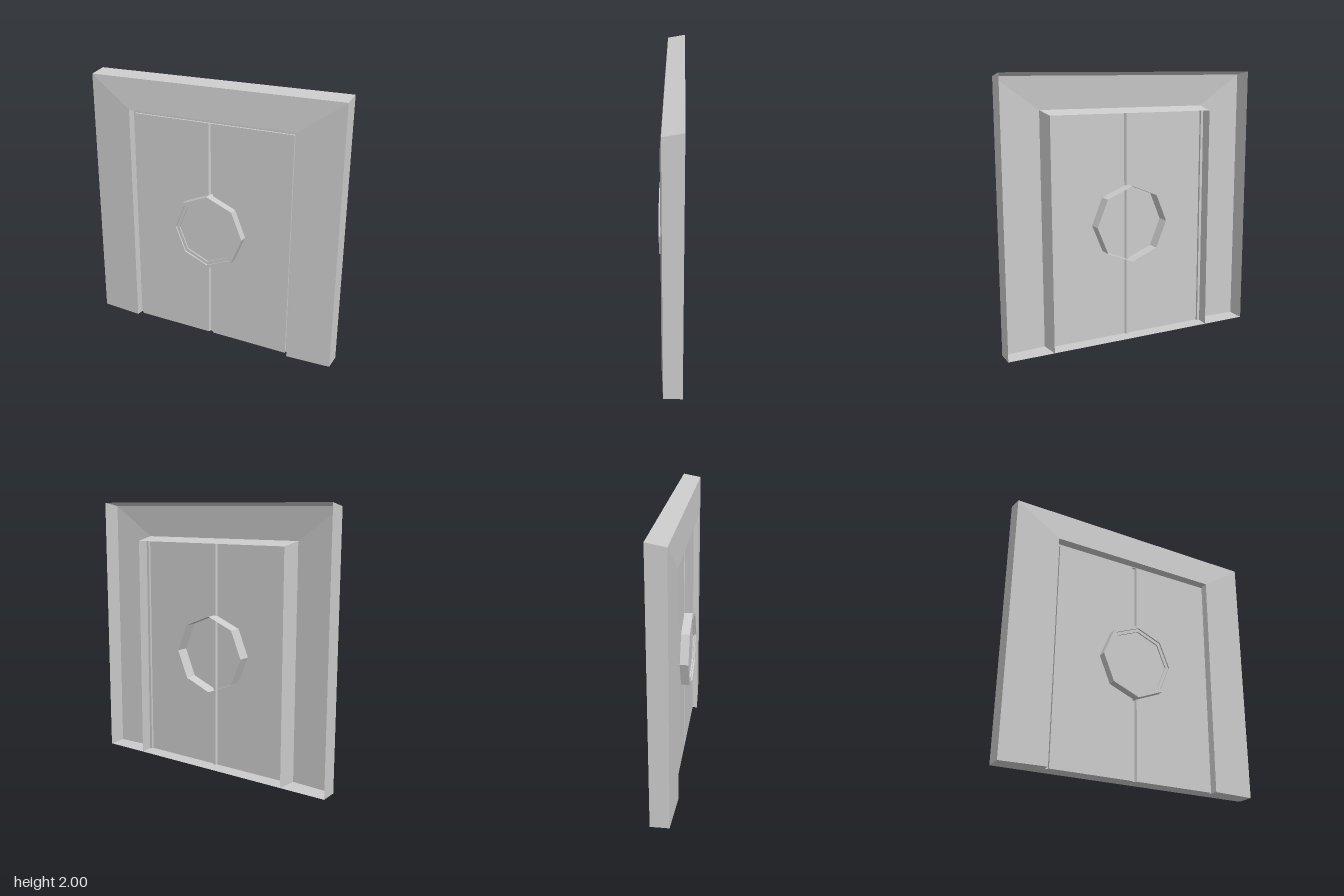
import * as THREE from 'three';

const material = new THREE.MeshStandardMaterial({
  color: 0xcccccc, flatShading: true, side: THREE.DoubleSide,
});

// Joins successive polylines of equal length with flat quads.
function loft(lines) {
  const pos = [];
  for (let k = 0; k < lines.length - 1; k++) {
    for (let i = 0; i < lines[k].length - 1; i++) {
      const a = lines[k][i], b = lines[k][i + 1];
      const c = lines[k + 1][i + 1], d = lines[k + 1][i];
      pos.push(...a, ...d, ...c, ...a, ...c, ...b);
    }
  }
  const geo = new THREE.BufferGeometry();
  geo.setAttribute('position', new THREE.Float32BufferAttribute(pos, 3));
  geo.computeVertexNormals();
  return geo;
}

// Doorway outline: up the left, across the top, down the right.
const arch = ([x, y, z]) => [[-x, 0, z], [-x, y, z], [x, y, z], [x, 0, z]];

// Clockwise octagon with a corner at the top.
const octagon = ([r, z], cy) => Array.from({ length: 9 }, (_, i) => {
  const t = (i * Math.PI) / 4;
  return [r * Math.sin(t), cy + r * Math.cos(t), z];
});

export function createModel() {
  const group = new THREE.Group();
  const add = (name, geo) => {
    const mesh = new THREE.Mesh(geo, material);
    mesh.name = name;
    group.add(mesh);
    return mesh;
  };

  // Hollow surround: outer wall, mitred sloping face, tapered reveal
  const frame = [[1, 2, -0.09], [1, 1.975, 0.047], [0.667, 1.74, 0.067], [0.65, 1.71, -0.09]];
  add('frame', loft(frame.map(arch)));

  // Narrow channel between the reveal and the door leaves
  const channel = [[0.661, 1.729, 0.012], [0.64, 1.71, 0.012], [0.64, 1.71, 0.03]];
  add('doorChannel', loft(channel.map(arch)));

  // Two leaves with a recessed seam between them
  const leaves = [[-0.64, 0.03], [-0.015, 0.03], [-0.007, 0.012], [0.012, 0.012], [0.02, 0.03], [0.64, 0.03]];
  add('doorLeaves', loft([1.71, 0].map((y) => leaves.map(([x, z]) => [x, y, z]))));

  // Stepped octagonal boss, open at the back
  const boss = [[0.288, -0.067], [0.288, 0.093], [0.265, 0.093], [0.265, 0.081],
    [0.24, 0.081], [0.24, 0.07], [0, 0.07]];
  add('doorBoss', loft(boss.map((p) => octagon(p, 0.885))));

  // Underside following the frame and leaves
  const outline = [[-1, -0.09], [-1, 0.047], [-0.667, 0.067], [-0.661, 0.012], [-0.64, 0.012],
    ...leaves, [0.64, 0.012], [0.661, 0.012], [0.667, 0.067], [1, 0.047], [1, -0.09]];
  const shape = new THREE.Shape(outline.map(([x, z]) => new THREE.Vector2(x, z)));
  add('underside', new THREE.ShapeGeometry(shape).rotateX(Math.PI / 2));

  return group;
}
